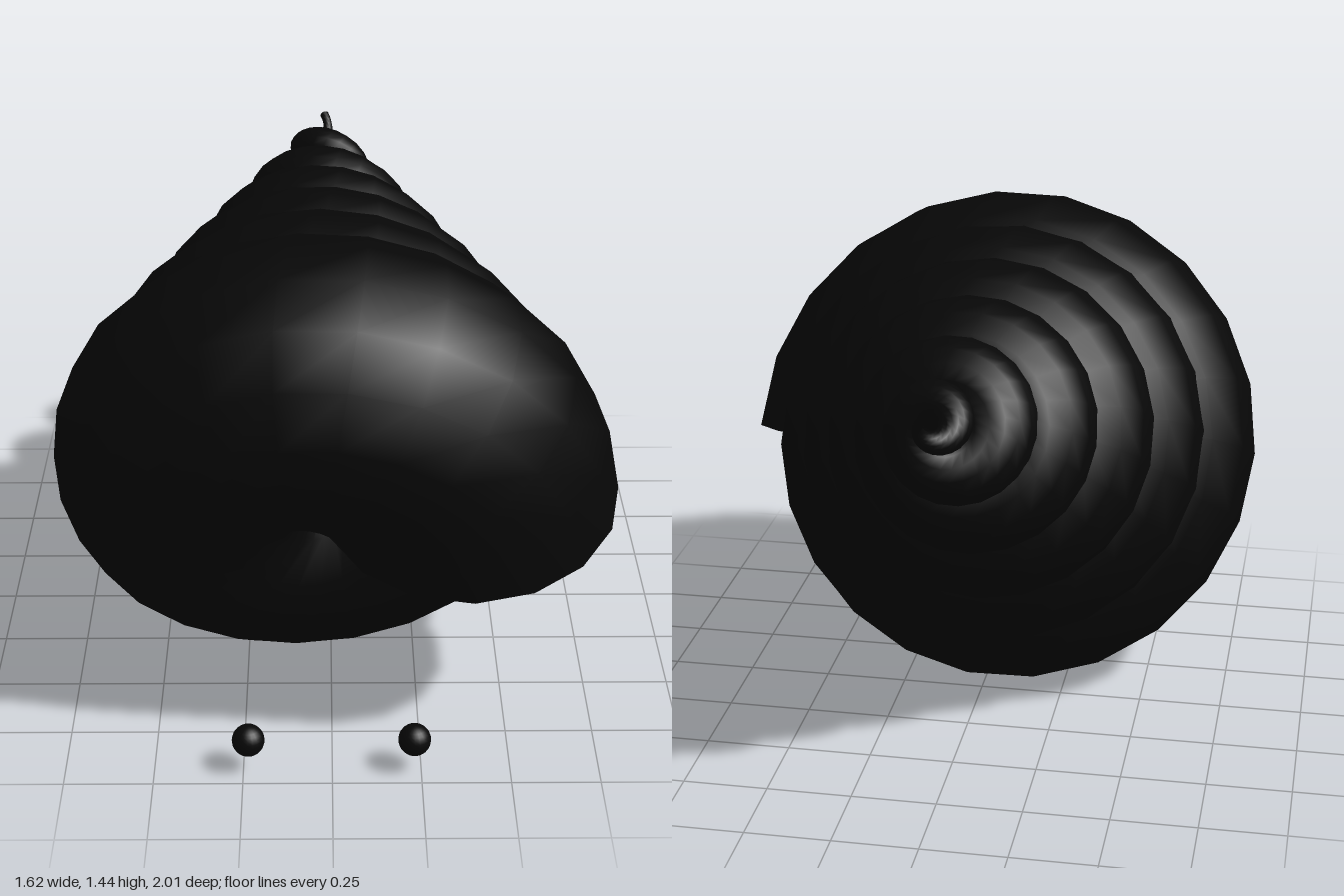
import * as THREE from 'three';

const START = 0.15, END = 6.248, STEPS = 136, SIDES = 16;

// Tilted shell axis: from the thin tip at the back, down and forwards
const tip = new THREE.Vector3(-0.025, 1.262, -1.045);
const axis = new THREE.Vector3(0, -0.376, 0.927).normalize();
const across = new THREE.Vector3(1, 0, 0);
const up = new THREE.Vector3(0, 0.927, 0.376).normalize();

// Direction away from the axis after n turns from the tip
function radial(n) {
  const a = Math.PI / 2 - n * Math.PI * 2;
  return across.clone().multiplyScalar(Math.cos(a)).addScaledVector(up, Math.sin(a));
}

// Centre line of the coil: a helix that widens evenly
function centre(n) {
  return tip.clone().addScaledVector(axis, 0.265 * n).addScaledVector(radial(n), 0.003 + 0.066 * n);
}

// Coiled tube that grows from a thin tip to a wide open mouth
function coilGeometry() {
  const positions = [], index = [];
  for (let i = 0; i <= STEPS; i++) {
    const n = START + (i / STEPS) * (END - START);
    const r = Math.max(0.014, 0.07 * n - 0.007);
    const c = centre(n);
    const t = centre(n + 0.01).sub(centre(n - 0.01)).normalize();
    const e1 = radial(n);
    e1.addScaledVector(t, -e1.dot(t)).normalize();
    const e2 = t.clone().cross(e1);
    for (let j = 0; j < SIDES; j++) {
      const a = (j / SIDES) * Math.PI * 2;
      const p = c.clone().addScaledVector(e1, r * Math.cos(a)).addScaledVector(e2, r * Math.sin(a));
      positions.push(p.x, p.y, p.z);
      if (i < STEPS) {
        const k = (j + 1) % SIDES, row = i * SIDES, next = row + SIDES;
        index.push(row + j, row + k, next + j, row + k, next + k, next + j);
      }
    }
  }
  const g = new THREE.BufferGeometry();
  g.setAttribute('position', new THREE.Float32BufferAttribute(positions, 3));
  g.setIndex(index);
  g.computeVertexNormals();
  return g;
}

export function createModel() {
  const group = new THREE.Group();
  const black = new THREE.MeshStandardMaterial({ color: 0x070707, side: THREE.DoubleSide });
  black.name = 'black';

  const shell = new THREE.Mesh(coilGeometry(), black);
  shell.name = 'spiralShell';
  group.add(shell);

  // Two small eyes floating below the mouth of the shell
  for (const [name, x] of [['leftEye', 0.23], ['rightEye', -0.235]]) {
    const eye = new THREE.Mesh(new THREE.SphereGeometry(0.046, 20, 14), black);
    eye.name = name;
    eye.position.set(x, 0.103, 0.94);
    group.add(eye);
  }
  return group;
}
